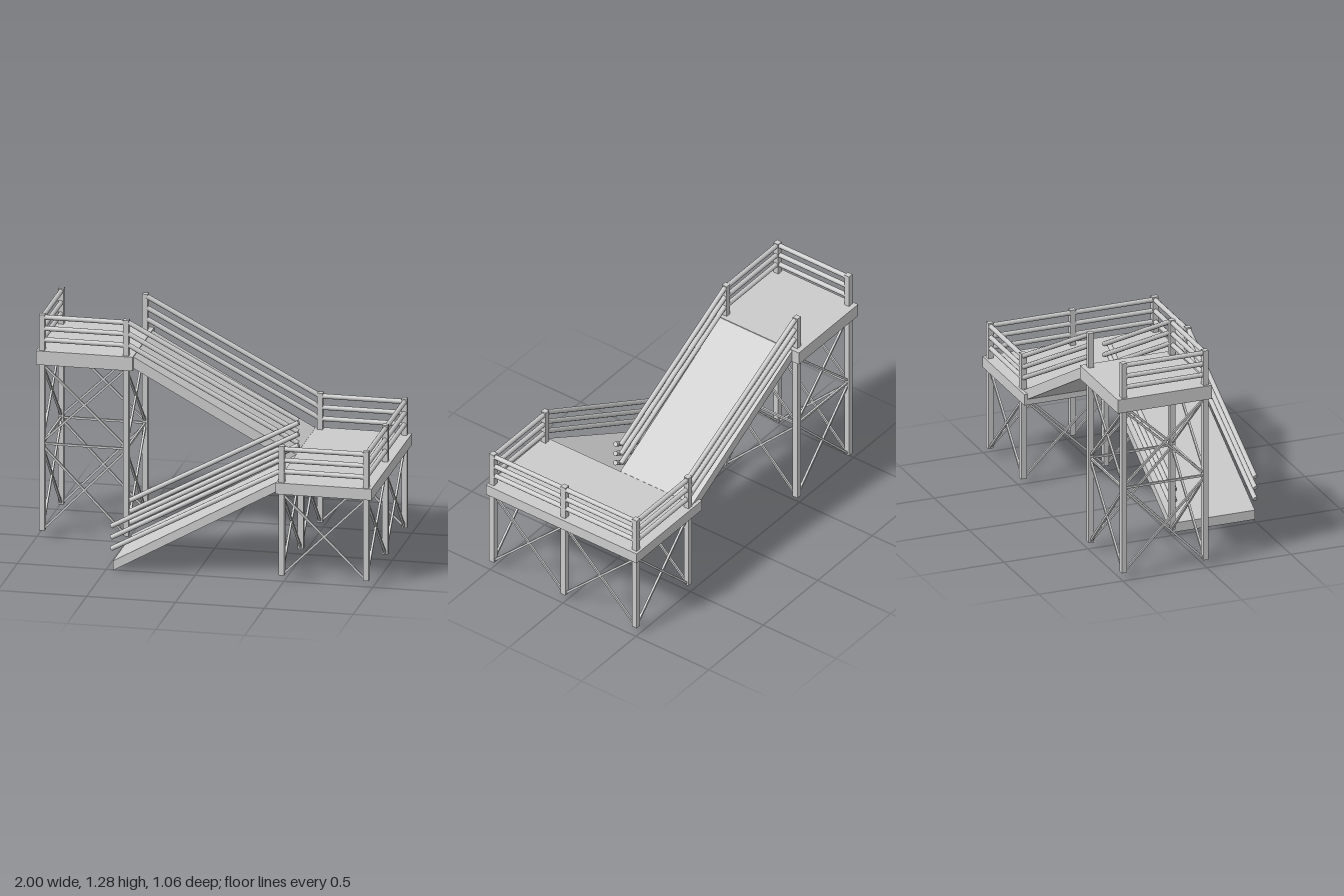
import * as THREE from 'three';

const material = new THREE.MeshStandardMaterial({ color: 0xcccccc });
const UP = new THREE.Vector3(0, 1, 0);

export function createModel() {
  const model = new THREE.Group();

  const add = (name, geometry) => {
    const mesh = new THREE.Mesh(geometry, material);
    mesh.name = name;
    model.add(mesh);
    return mesh;
  };

  // Box given by its lower and upper corners
  const block = (name, [x0, y0, z0], [x1, y1, z1]) =>
    add(name, new THREE.BoxGeometry(x1 - x0, y1 - y0, z1 - z0))
      .position.set((x0 + x1) / 2, (y0 + y1) / 2, (z0 + z1) / 2);

  // Stretches a bar between two points
  const span = (name, a, b, makeGeometry) => {
    const from = new THREE.Vector3(...a), to = new THREE.Vector3(...b);
    const dir = to.clone().sub(from);
    const mesh = add(name, makeGeometry(dir.length()));
    mesh.position.copy(from).add(to).multiplyScalar(0.5);
    mesh.quaternion.setFromUnitVectors(UP, dir.normalize());
  };
  const brace = (a, b) => span('brace', a, b, (l) => new THREE.BoxGeometry(0.012, l, 0.012));
  const rail = (a, b) => span('rail', a, b, (l) => new THREE.CylinderGeometry(0.014, 0.014, l, 10));

  const post = (x, z, top) =>
    block('post', [x - 0.016, 0.04, z - 0.016], [x + 0.016, top, z + 0.016]);

  // Crossed braces between two posts
  const cross = ([xa, za], [xb, zb], low, high) => {
    brace([xa, low, za], [xb, high, zb]);
    brace([xa, high, za], [xb, low, zb]);
  };

  // Three parallel rails, each end given as [x, top rail height, z]
  const rails = (a, b) => {
    for (const drop of [0, 0.065, 0.13]) {
      rail([a[0], a[1] - drop, a[2]], [b[0], b[1] - drop, b[2]]);
    }
  };

  // Sloping slab with vertical ends
  const ramp = (name, [xa, ya], [xb, yb], thick, z0, z1) => {
    const shape = new THREE.Shape([
      new THREE.Vector2(xa, ya - thick), new THREE.Vector2(xb, yb - thick),
      new THREE.Vector2(xb, yb), new THREE.Vector2(xa, ya),
    ]);
    add(name, new THREE.ExtrudeGeometry(shape, { depth: z1 - z0, bevelEnabled: false }))
      .position.z = z0;
  };

  // Upper landing on its tall tower
  block('upperDeck', [-1, 1, -0.53], [-0.455, 1.08, 0.03]);
  const tower = [[-0.97, 0], [-0.497, 0], [-0.497, -0.485], [-0.97, -0.485]];
  tower.forEach((p, i) => {
    const q = tower[(i + 1) % 4];
    post(...p, 1.285);
    cross(p, q, 0.04, 0.53);
    cross(p, q, 0.55, 1);
    brace([p[0], 0.54, p[1]], [q[0], 0.54, q[1]]);
  });
  rails([-0.97, 1.268, 0], [-0.497, 1.268, 0]);
  rails([-0.97, 1.268, 0], [-0.97, 1.268, -0.485]);

  // Middle landing, two decks side by side
  block('lowerDeckFront', [0.46, 0.51, 0.01], [1, 0.575, 0.53]);
  block('lowerDeckBack', [0.4, 0.51, -0.505], [1, 0.575, 0.01]);
  const inner = 0.49, outer = 0.965, rows = [-0.475, 0.015, 0.505];
  rows.forEach((z, i) => {
    post(outer, z, 0.785);
    post(inner, z, i === 1 ? 0.52 : 0.785);
    if (i !== 1) {
      cross([inner, z], [outer, z], 0.04, 0.51);
      rails([inner, 0.765, z], [outer, 0.765, z]);
    }
    if (i < 2) {
      for (const x of [inner, outer]) cross([x, z], [x, rows[i + 1]], 0.04, 0.51);
      rails([outer, 0.765, z], [outer, 0.765, rows[i + 1]]);
    }
  });

  // Upper ramp and its handrails
  ramp('upperRamp', [-0.46, 1.078], [0.46, 0.576], 0.065, -0.485, 0.01);
  rails([-0.485, 1.27, -0.48], [0.49, 0.765, -0.475]);
  rails([-0.485, 1.27, 0], [0.47, 0.77, 0]);

  // Lower ramp and its handrails
  ramp('lowerRamp', [-0.46, 0.055], [0.462, 0.574], 0.055, 0.01, 0.51);
  for (const z of [0.03, 0.508]) rails([-0.47, 0.255, z], [0.48, 0.768, z]);

  return model;
}
